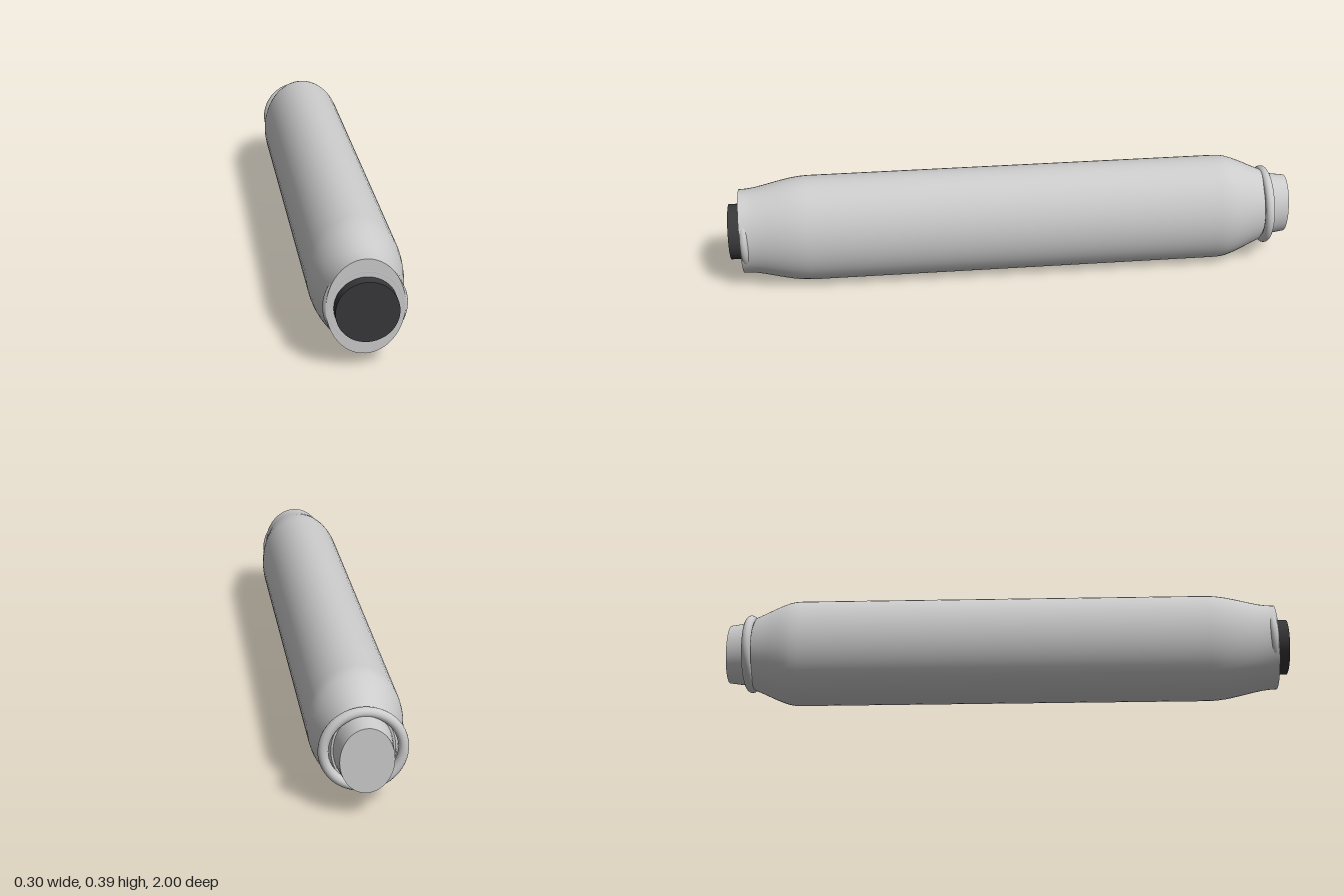
import * as THREE from 'three';
import { toCreasedNormals } from 'three/addons/utils/BufferGeometryUtils.js';

const SIDES = 48, CENTRE_Y = 0.197, OVAL = 0.777; // OVAL: width / height of the casing

function addPart(group, name, geometry, z = 0, color = 0xcccccc) {
  const mesh = new THREE.Mesh(geometry, new THREE.MeshStandardMaterial({ color }));
  mesh.name = name;
  mesh.position.set(0, CENTRE_Y, z);
  group.add(mesh);
}

// Revolve [radius, z] points (back to front) around z and squash to an oval
function ovalLathe(points) {
  const lathe = new THREE.LatheGeometry(points.map(([r, z]) => new THREE.Vector2(r, z)), SIDES);
  lathe.rotateX(Math.PI / 2).scale(OVAL, 1, 1);
  return toCreasedNormals(lathe, 0.6);
}

export function createModel() {
  const group = new THREE.Group();

  // Long oval casing with tapered, rounded shoulders and closed ends
  addPart(group, 'casing', ovalLathe([
    [0, -0.92], [0.128, -0.92], [0.139, -0.9], [0.15, -0.875], [0.167, -0.84],
    [0.182, -0.806], [0.191, -0.78], [0.195, -0.76], [0.196, -0.735],
    [0.196, 0.72], [0.194, 0.75], [0.189, 0.785], [0.179, 0.83], [0.169, 0.87],
    [0.161, 0.905], [0.157, 0.935], [0.156, 0.96], [0, 0.96],
  ]));

  // Tapered oval plug at the back
  addPart(group, 'backPlug', ovalLathe([
    [0, -1], [0.108, -1], [0.121, -0.91], [0, -0.91],
  ]));

  // Round collars at both ends
  addPart(group, 'backCollar', new THREE.TorusGeometry(0.124, 0.0165, 16, SIDES), -0.921);
  addPart(group, 'frontCollar', new THREE.TorusGeometry(0.115, 0.0155, 16, SIDES), 0.945);

  // Dark round cap at the front
  const cap = new THREE.CylinderGeometry(0.098, 0.098, 0.06, SIDES).rotateX(Math.PI / 2);
  addPart(group, 'frontCap', cap, 0.97, 0x38383a);

  return group;
}
